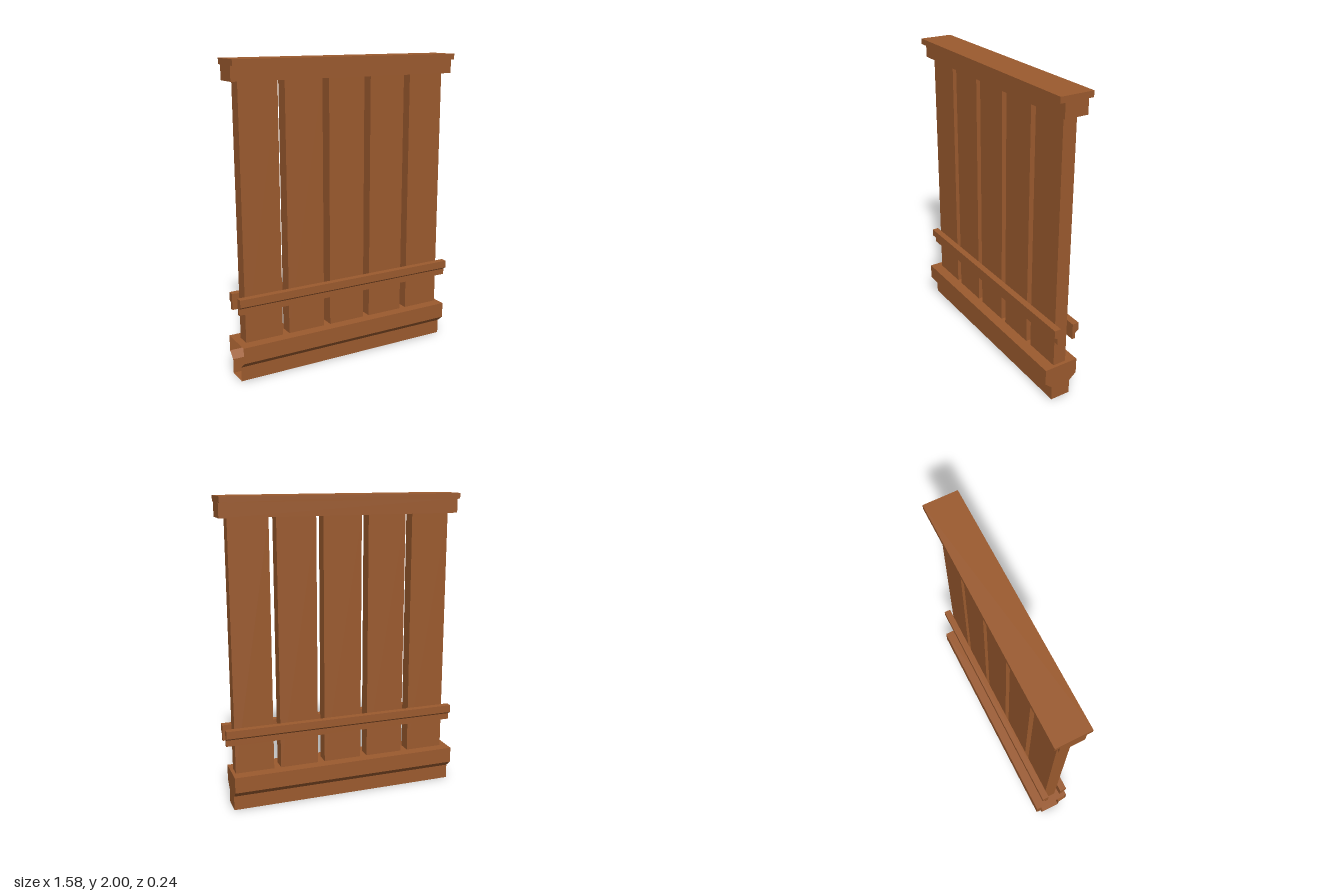
import * as THREE from 'three';

const wood = new THREE.MeshStandardMaterial({ color: 0x9b5a2e, side: THREE.DoubleSide });
wood.name = 'brown wood';

// Sweeps a [z, y] profile along x from x0 to x1
function moulding(name, profile, x0, x1, openStart = false) {
  const shape = new THREE.Shape(profile.map(([z, y]) => new THREE.Vector2(-z, y)));
  let geo = new THREE.ExtrudeGeometry(shape, { depth: x1 - x0, bevelEnabled: false });
  geo.rotateY(Math.PI / 2).translate(x0, 0, 0);
  if (openStart) {
    // leave out the cap on the x0 end
    const p = geo.attributes.position;
    const keep = [];
    for (let i = 0; i < p.count; i += 3) {
      const onCap = [0, 1, 2].every((k) => Math.abs(p.getX(i + k) - x0) < 1e-4);
      if (!onCap) keep.push(i, i + 1, i + 2);
    }
    geo.clearGroups();
    geo.setIndex(keep);
  }
  const mesh = new THREE.Mesh(geo, wood);
  mesh.name = name;
  return mesh;
}

// Completes a half profile by mirroring it in z
const symmetric = (half) => [...half, ...half.map(([z, y]) => [-z, y]).reverse()];

export function createModel() {
  const model = new THREE.Group();
  model.name = 'slattedFencePanel';

  // Hollow base beam with a sloped underside, open at one end
  model.add(moulding('baseBeam',
    symmetric([[0.068, 0], [0.068, 0.095], [0.118, 0.138], [0.118, 0.243]]),
    -0.785, 0.753, true));

  // Stepped top rail
  model.add(moulding('topRail',
    symmetric([[0.077, 1.872], [0.077, 1.963], [0.11, 1.963], [0.11, 2]]),
    -0.79, 0.785));

  // Upright boards
  const boards = new THREE.Group();
  boards.name = 'boards';
  for (let i = 0; i < 5; i++) {
    const board = new THREE.Mesh(new THREE.BoxGeometry(0.256, 1.63, 0.09), wood);
    board.position.set(-0.609 + i * 0.303, 1.058, 0);
    board.name = 'board';
    boards.add(board);
  }
  model.add(boards);

  // Thin moulded rails on both faces
  for (const side of [1, -1]) {
    const profile = [[0.045, 0.443], [0.067, 0.443], [0.067, 0.484], [0.089, 0.499], [0.089, 0.549], [0.045, 0.549]];
    model.add(moulding(side > 0 ? 'frontRail' : 'backRail',
      profile.map(([z, y]) => [z * side, y]), -0.785, 0.79));
  }
  return model;
}
